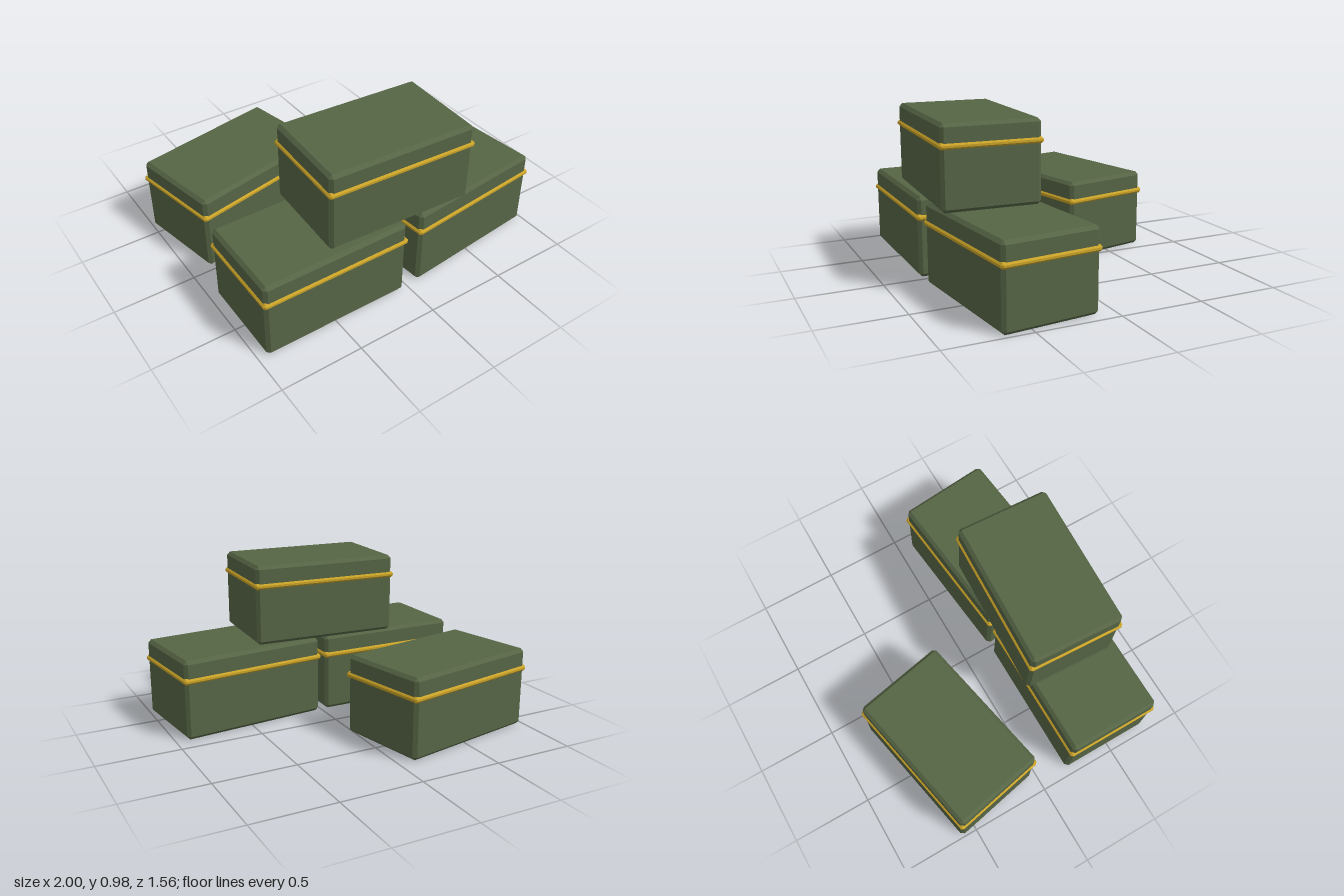
import * as THREE from 'three';
import { ConvexGeometry } from 'three/addons/geometries/ConvexGeometry.js';

// Box with every edge cut by one flat bevel of width c
function chamferBox(w, h, d, c) {
  const points = [];
  for (const sx of [-1, 1]) for (const sy of [-1, 1]) for (const sz of [-1, 1]) {
    const x = w / 2, y = h / 2, z = d / 2;
    points.push(
      new THREE.Vector3(sx * x, sy * (y - c), sz * (z - c)),
      new THREE.Vector3(sx * (x - c), sy * y, sz * (z - c)),
      new THREE.Vector3(sx * (x - c), sy * (y - c), sz * z)
    );
  }
  return new ConvexGeometry(points);
}

export function createModel() {
  const green = new THREE.MeshStandardMaterial({ color: 0x566545 });
  green.name = 'olive green';
  const gold = new THREE.MeshStandardMaterial({ color: 0xc9a227 });
  gold.name = 'gold';

  const H = 0.488;
  const bodyGeometry = chamferBox(0.916, H, 0.58, 0.02);
  const bandGeometry = chamferBox(0.936, 0.038, 0.6, 0.013);

  const model = new THREE.Group();
  model.name = 'crateStack';

  // One crate: bevelled body with a raised band near the top
  function addCrate(name, x, y, z, turn) {
    const crate = new THREE.Group();
    crate.name = name;
    const body = new THREE.Mesh(bodyGeometry, green);
    body.name = 'body';
    body.position.y = H / 2;
    const band = new THREE.Mesh(bandGeometry, gold);
    band.name = 'band';
    band.position.y = 0.365;
    crate.add(body, band);
    crate.position.set(x, y, z);
    crate.rotation.y = turn;
    model.add(crate);
  }

  addCrate('frontRightCrate', -0.488, 0, 0.48, 0);
  addCrate('frontLeftCrate', 0.503, 0, 0.428, 0.1);
  addCrate('backCrate', -0.483, 0, -0.4, 0.2);
  addCrate('topCrate', -0.04, 0.492, 0.458, -0.05);

  return model;
}
